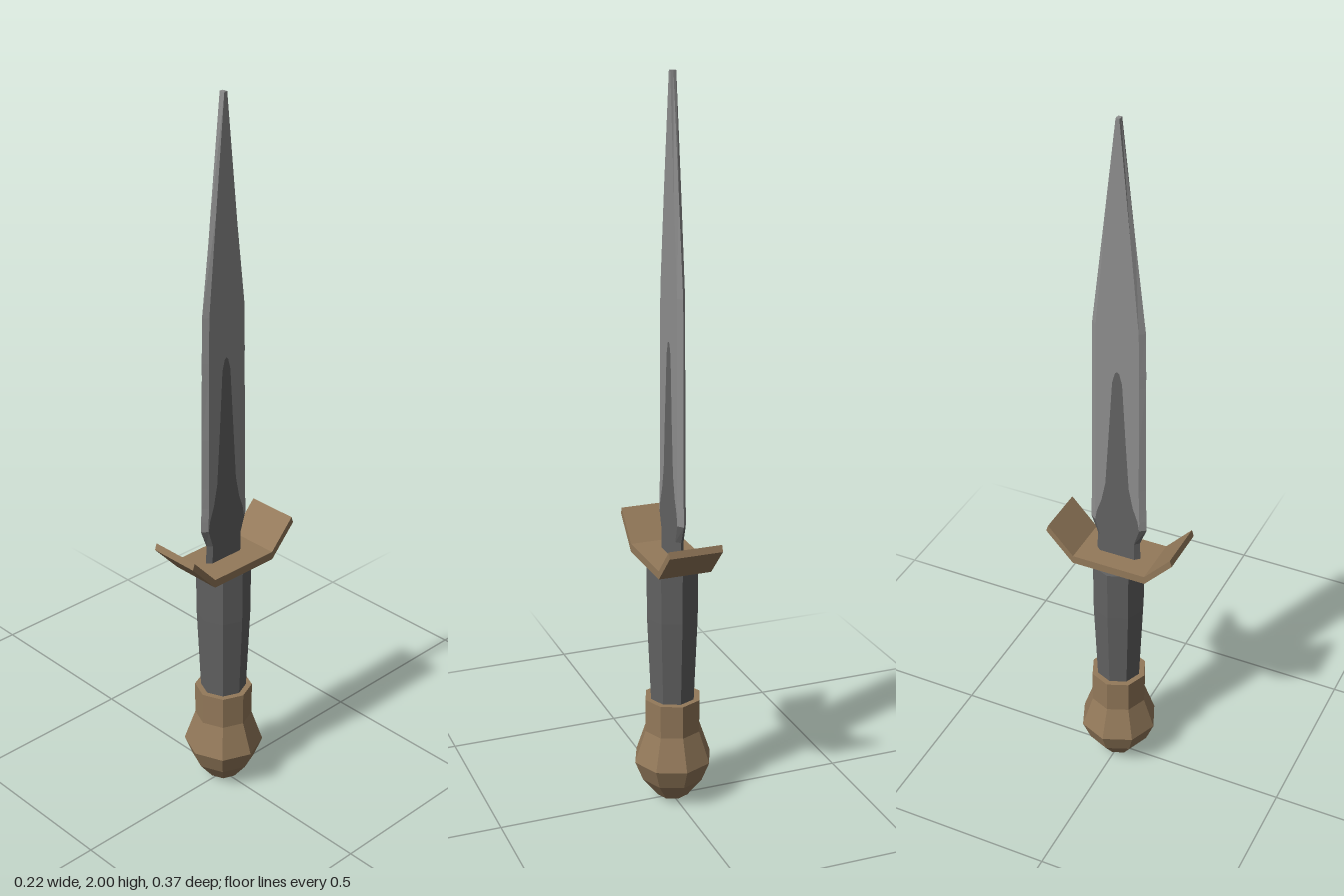
import * as THREE from 'three';

const material = (name, color) => {
  const m = new THREE.MeshStandardMaterial({ color });
  m.name = name;
  return m;
};

// Splits shared corners so that every facet is shaded flat
function faceted(geometry) {
  const g = geometry.index ? geometry.toNonIndexed() : geometry;
  g.computeVertexNormals();
  return g;
}

// Eight-sided turned part from [radius, height] pairs, bottom to top
function turned(profile) {
  return faceted(new THREE.LatheGeometry(profile.map(([r, y]) => new THREE.Vector2(r, y)), 8));
}

// Blade sections: [height, half width, half width of dark inlay, half thickness]
const SECTIONS = [
  [0.71, 0.065, 0.050, 0.012],
  [0.78, 0.063, 0.049, 0.012],
  [0.83, 0.082, 0.065, 0.012],
  [0.86, 0.082, 0.060, 0.012],
  [0.90, 0.080, 0.046, 0.012],
  [0.96, 0.079, 0.034, 0.012],
  [1.10, 0.078, 0.025, 0.012],
  [1.28, 0.076, 0.014, 0.011],
  [1.31, 0.076, 0.006, 0.011],
  [1.315, 0.076, 0, 0.011],
  [1.44, 0.074, 0, 0.011],
  [1.70, 0.043, 0, 0.010],
  [2.00, 0.006, 0, 0.008],
];

// Ring of ten corners around the blade, anticlockwise from above
function ring([y, h, f, t]) {
  const b = h * 0.8;
  return [[0, h], [t, b], [t, f], [t, -f], [t, -b], [0, -h], [-t, -b], [-t, -f], [-t, f], [-t, b]]
    .map(([x, z]) => [x, y, z]);
}

function bladeGeometry(dark) {
  const p = [];
  const rings = SECTIONS.map(ring);
  for (let s = 0; s < rings.length - 1; s++) {
    const lo = rings[s], hi = rings[s + 1];
    for (let i = 0; i < 10; i++) {
      const isDark = i === 2 || i === 7 || s < 2;
      if (isDark !== dark) continue;
      const j = (i + 1) % 10;
      p.push(...lo[i], ...lo[j], ...hi[j], ...lo[i], ...hi[j], ...hi[i]);
    }
  }
  // Blunt tip
  if (!dark) {
    const top = rings[rings.length - 1];
    for (let i = 1; i < 9; i++) p.push(...top[0], ...top[i], ...top[i + 1]);
  }
  const g = new THREE.BufferGeometry();
  g.setAttribute('position', new THREE.Float32BufferAttribute(p, 3));
  return faceted(g);
}

// Bent crossguard: side outline extruded across the width
function guardGeometry() {
  const half = [[0.107, 0.705], [0.186, 0.79], [0.18, 0.808], [0.106, 0.728]];
  const outline = [...half, ...half.map(([z, y]) => [-z, y]).reverse()];
  const shape = new THREE.Shape(outline.map(([z, y]) => new THREE.Vector2(z, y)));
  const g = new THREE.ExtrudeGeometry(shape, { depth: 0.148, bevelEnabled: false });
  g.rotateY(Math.PI / 2);
  g.translate(-0.068, 0, 0);
  return faceted(g);
}

export function createModel() {
  const steel = material('steel', 0x8e8e8e);
  const darkGrey = material('dark grey', 0x626262);
  const bronze = material('bronze', 0x93795a);

  const model = new THREE.Group();
  model.name = 'dagger';
  const add = (name, geometry, mat) => {
    const mesh = new THREE.Mesh(geometry, mat);
    mesh.name = name;
    model.add(mesh);
  };

  add('pommel', turned([
    [0, 0], [0.045, 0.01], [0.088, 0.065], [0.111, 0.122],
    [0.080, 0.213], [0.080, 0.308], [0, 0.308],
  ]), bronze);
  add('grip', turned([[0, 0.3], [0.063, 0.3], [0.074, 0.55], [0.075, 0.70], [0, 0.70]]), darkGrey);
  add('crossguard', guardGeometry(), bronze);
  add('blade', bladeGeometry(false), steel);
  add('bladeInlay', bladeGeometry(true), darkGrey);
  return model;
}
